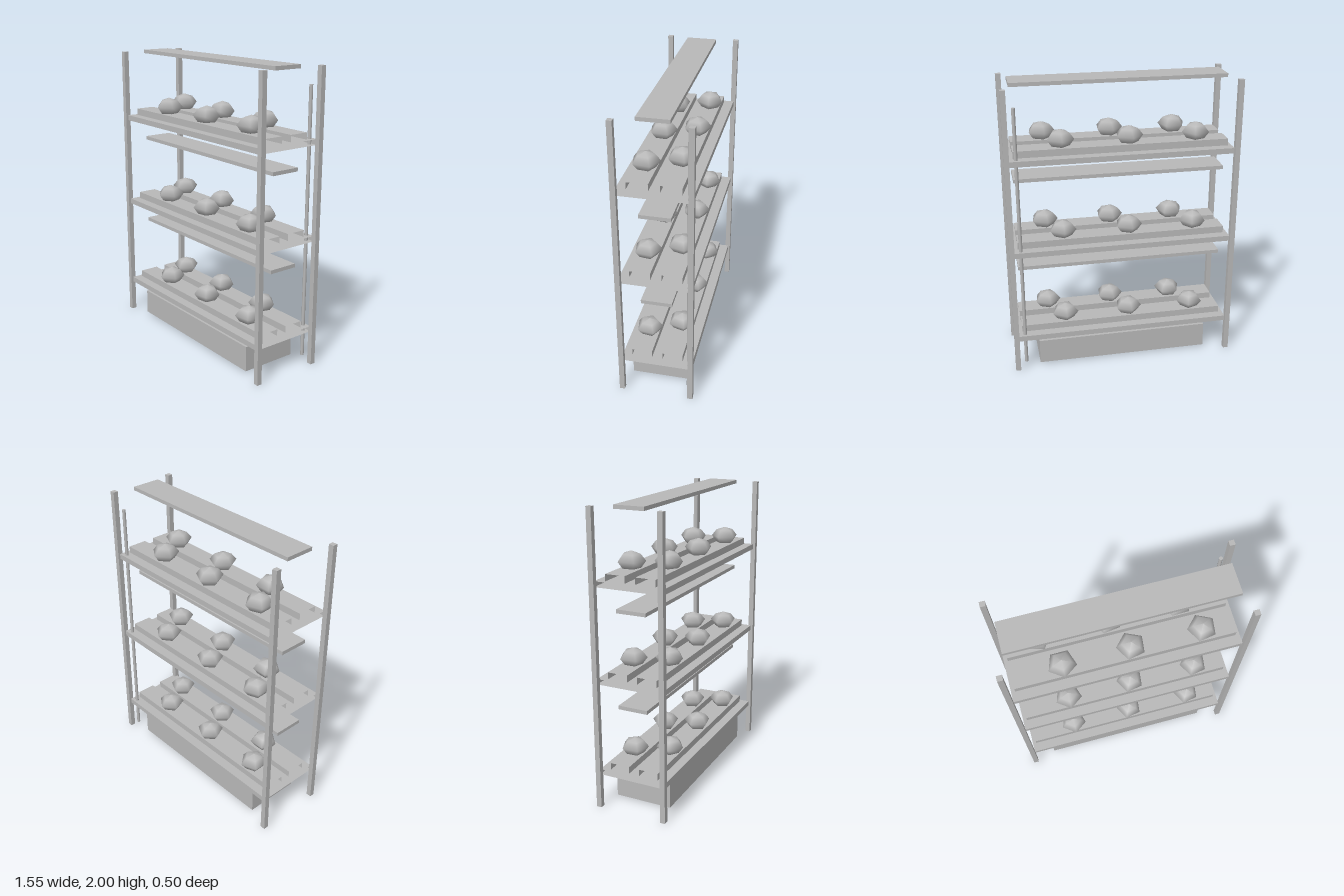
import * as THREE from 'three';

export function createModel() {
  const root = new THREE.Group();
  root.name = 'growRack';
  const grey = new THREE.MeshStandardMaterial({ color: 0xb8b8b8, side: THREE.DoubleSide });
  grey.name = 'grey';

  function add(parent, name, geometry, x, y, z) {
    const mesh = new THREE.Mesh(geometry, grey);
    mesh.name = name;
    mesh.position.set(x, y, z);
    parent.add(mesh);
    return mesh;
  }

  // Box without some sides (0 +x, 1 -x, 2 top, 3 bottom, 4 front, 5 back)
  function openBox(w, h, d, missing) {
    const geometry = new THREE.BoxGeometry(w, h, d);
    const index = Array.from(geometry.index.array);
    geometry.setIndex(index.filter((_, i) => !missing.includes(Math.floor(i / 6))));
    geometry.clearGroups();
    return geometry;
  }

  // Corner posts
  for (const sx of [-1, 1]) {
    for (const sz of [-1, 1]) {
      add(root, 'post', new THREE.BoxGeometry(0.035, 1.99, 0.035), sx * 0.757, 0.995, sz * 0.235);
    }
  }

  // Water pipe up the back
  add(root, 'waterPipe', new THREE.CylinderGeometry(0.012, 0.012, 1.825, 8), 0.696, 0.958, -0.21);

  // Tank, open underneath, with its pump on top
  add(root, 'tank', openBox(1.195, 0.175, 0.397, [3]), 0, 0.0975, 0.003);
  add(root, 'pump', new THREE.CylinderGeometry(0.042, 0.042, 0.022, 12), 0.236, 0.196, 0.083);

  // Faceted plant with five sides
  const plantProfile = [[0, 0], [0.062, 0], [0.094, 0.045], [0.06, 0.088], [0, 0.108]]
    .map(([r, y]) => new THREE.Vector2(r, y));
  const plantGeometry = new THREE.LatheGeometry(plantProfile, 5);
  // x, z, turn in degrees
  const plants = [
    [-0.395, 0.105, 0], [0.045, 0.103, 47], [0.503, 0.103, 46],
    [-0.505, -0.105, 20], [-0.053, -0.103, 44], [0.4, -0.1, 38],
  ];

  // Three tiers: shelf, two channels, plants and a lamp above
  for (let tier = 0; tier < 3; tier++) {
    const group = new THREE.Group();
    group.name = 'tier';
    group.position.y = 0.225 + tier * 0.635;
    root.add(group);

    add(group, 'shelf', openBox(1.478, 0.037, 0.474, [0, 1]), 0, 0.0185, -0.001);
    for (const side of [-1, 1]) {
      add(group, 'channel', openBox(1.426, 0.046, 0.135, [0, 1]), 0, 0.06, side * 0.104);
    }
    for (const [x, z, turn] of plants) {
      add(group, 'plant', plantGeometry, x, 0.086, z).rotation.y = THREE.MathUtils.degToRad(turn);
    }
    add(group, 'lamp', new THREE.BoxGeometry(1.426, 0.025, 0.204), 0, 0.4925, 0);
  }

  return root;
}
